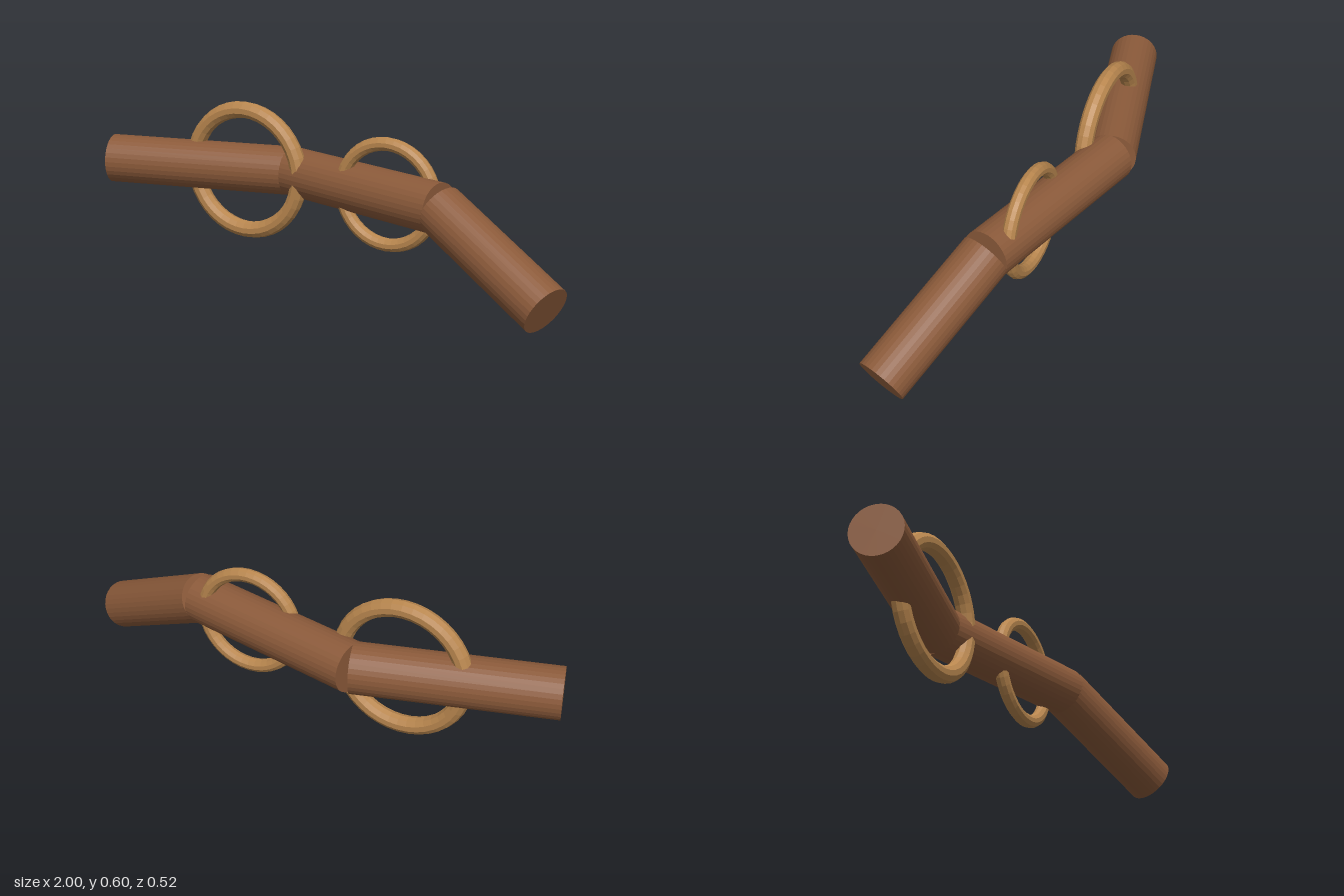
import * as THREE from 'three';

export function createModel() {
  const model = new THREE.Group();
  model.name = 'branchWithRings';

  const bark = new THREE.MeshStandardMaterial({ color: 0x8b5a3a, flatShading: true });
  bark.name = 'brown bark';
  const tan = new THREE.MeshStandardMaterial({ color: 0xb8864e, flatShading: true });
  tan.name = 'tan wood';

  // Bent branch: three straight square-cut cylinders meeting at two joints
  const joints = [
    [-0.975, 0.33, 0.02],
    [-0.256, 0.33, -0.168],
    [0.468, 0.33, 0.007],
    [0.949, 0.087, 0.17],
  ].map((p) => new THREE.Vector3(...p));
  const up = new THREE.Vector3(0, 1, 0);

  ['rightSegment', 'middleSegment', 'leftSegment'].forEach((name, i) => {
    const axis = joints[i + 1].clone().sub(joints[i]);
    const segment = new THREE.Mesh(new THREE.CylinderGeometry(0.095, 0.095, axis.length(), 32), bark);
    segment.name = name;
    segment.position.copy(joints[i]).addScaledVector(axis, 0.5);
    segment.quaternion.setFromUnitVectors(up, axis.normalize());
    model.add(segment);
  });

  // Upright rings that pass through the branch
  function addRing(name, radius, tube, x, z) {
    const ring = new THREE.Mesh(new THREE.TorusGeometry(radius, tube, 10, 40), tan);
    ring.name = name;
    ring.position.set(x, 0.33, z);
    model.add(ring);
  }
  addRing('largeRing', 0.24, 0.033, -0.413, -0.087);
  addRing('smallRing', 0.192, 0.026, 0.226, -0.056);

  return model;
}
